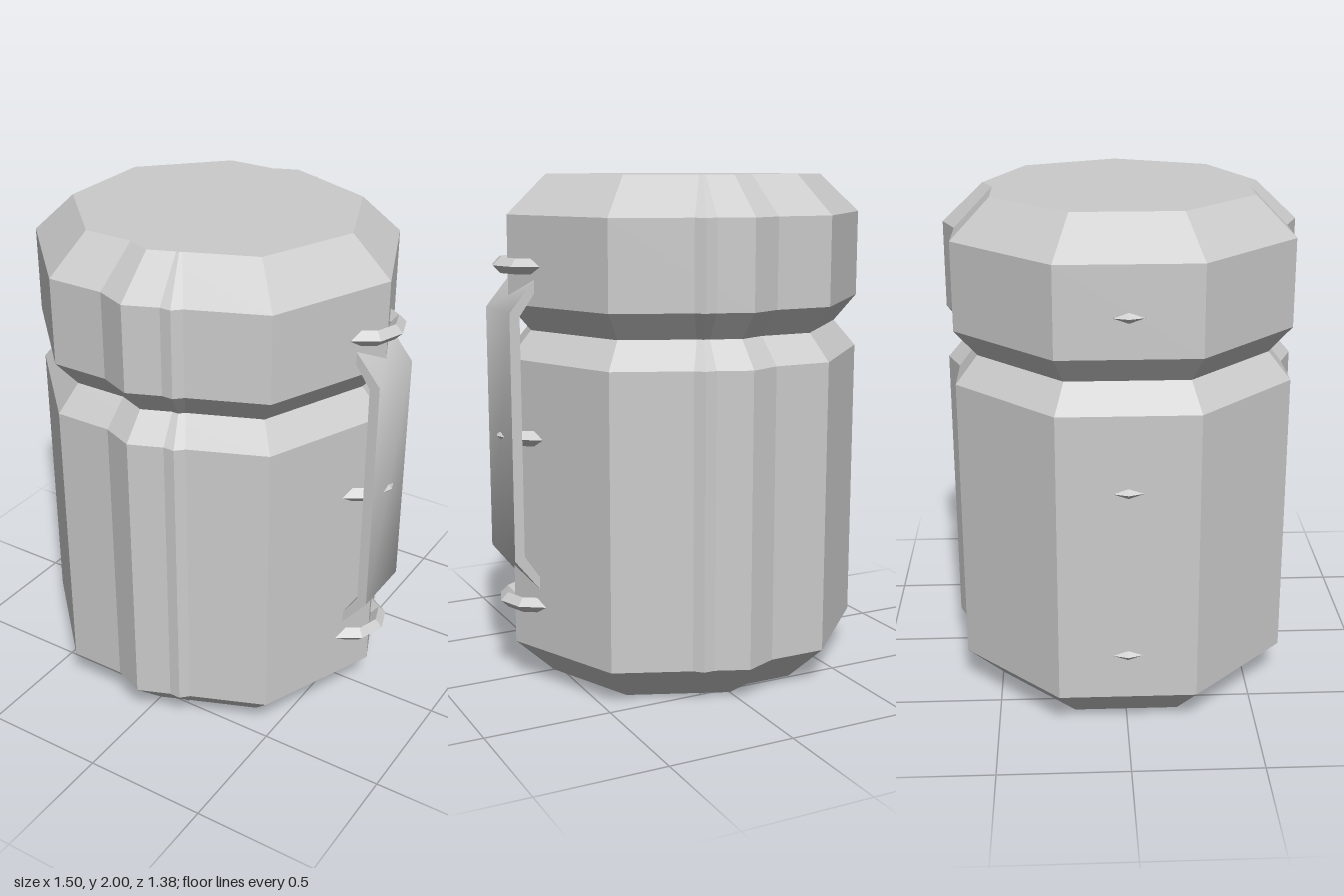
import * as THREE from 'three';
import { toCreasedNormals } from 'three/addons/utils/BufferGeometryUtils.js';

const flat = new THREE.MeshStandardMaterial({ color: 0xcccccc, flatShading: true, side: THREE.DoubleSide });
const smooth = new THREE.MeshStandardMaterial({ color: 0xcccccc, side: THREE.DoubleSide });

// Radius and height from the open base up to the closed lid
const PROFILE = [
  [0.53, 0], [0.69, 0.15], [0.69, 1.3], [0.6, 1.405],
  [0.69, 1.51], [0.69, 1.85], [0.53, 2], [0, 2],
].map(([r, y]) => new THREE.Vector2(r, y));

function add(parent, name, geometry, material) {
  const mesh = new THREE.Mesh(geometry, material);
  mesh.name = name;
  parent.add(mesh);
  return mesh;
}

// Eight-sided canister shell, open at the bottom
function shellGeometry(turn) {
  return new THREE.LatheGeometry(PROFILE, 8, turn, Math.PI * 2);
}

// Bent strap: a thick line in x and y, extruded along z, soft at the bends
function handleGeometry() {
  const outline = [
    [0.635, 0.40], [0.735, 0.525], [0.735, 1.49], [0.635, 1.61],
    [0.635, 1.56], [0.695, 1.475], [0.695, 0.54], [0.635, 0.45],
  ].map(([x, y]) => new THREE.Vector2(x, y));
  const geometry = new THREE.ExtrudeGeometry(new THREE.Shape(outline), { depth: 0.27, bevelEnabled: false });
  return toCreasedNormals(geometry.translate(0, 0, -0.135), 0.9);
}

// Curved lug with a diamond section, bulging towards +x
function lugGeometry() {
  const arc = THREE.MathUtils.degToRad(152);
  return new THREE.TorusGeometry(0.14, 0.03, 4, 4, arc).rotateZ(-arc / 2).rotateX(Math.PI / 2);
}

export function createModel() {
  const model = new THREE.Group();
  model.name = 'canister';

  // Two overlapping octagonal shells, the second turned and shifted
  add(model, 'mainShell', shellGeometry(0), flat);
  add(model, 'offsetShell', shellGeometry(Math.PI / 8), flat).position.x = -0.093;

  add(model, 'handle', handleGeometry(), smooth);

  // Three lugs on each side
  const lug = lugGeometry();
  for (const side of [1, -1]) {
    for (const y of [0.33, 1, 1.66]) {
      const mesh = add(model, side > 0 ? 'leftLug' : 'rightLug', lug, flat);
      mesh.position.set(side * 0.58, y, 0);
      if (side < 0) mesh.rotation.y = Math.PI;
    }
  }
  return model;
}
